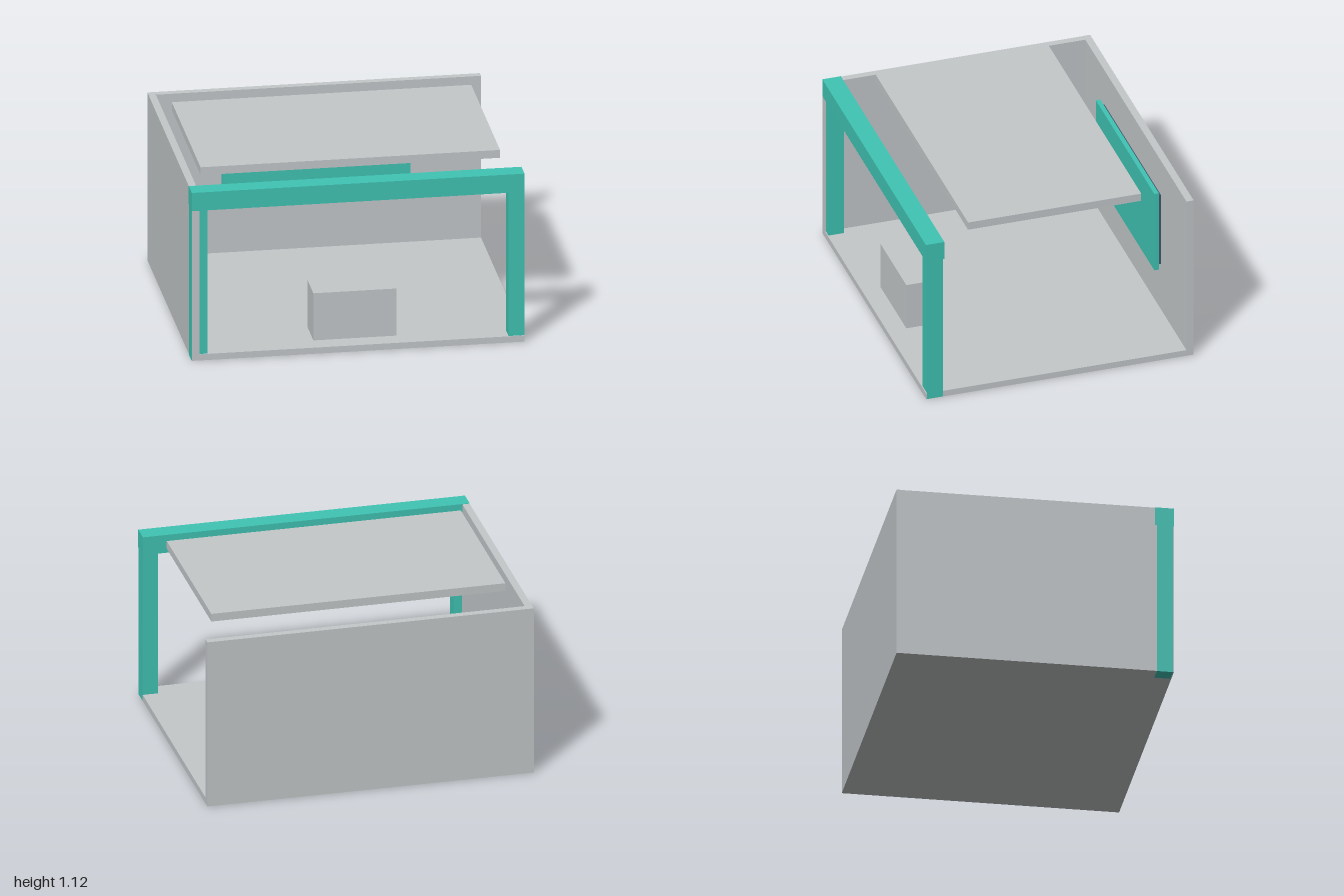
import * as THREE from 'three';

export function createModel() {
  const model = new THREE.Group();
  model.name = 'exhibitionBooth';

  const material = (name, color) => {
    const m = new THREE.MeshStandardMaterial({ color });
    m.name = name;
    return m;
  };
  const grey = material('light grey', 0xc4c8ca);
  const teal = material('teal', 0x40c4b4);
  const slate = material('slate blue', 0x40586c);

  // Adds a box from its low and high corners.
  const box = (name, mat, [x0, y0, z0], [x1, y1, z1]) => {
    const mesh = new THREE.Mesh(new THREE.BoxGeometry(x1 - x0, y1 - y0, z1 - z0), mat);
    mesh.position.set((x0 + x1) / 2, (y0 + y1) / 2, (z0 + z1) / 2);
    mesh.name = name;
    model.add(mesh);
  };

  // Shell: floor, back wall and one side wall; the other side is open.
  box('floor', grey, [-0.999, 0.001, -0.835], [0.999, 0.04, 0.833]);
  box('backWall', grey, [-0.999, 0.04, -0.835], [0.999, 1.07, -0.79]);
  box('sideWall', grey, [-0.999, 0.04, -0.79], [-0.955, 1.069, 0.833]);

  // Front portal: posts just proud of the outer sides, with a beam on top.
  box('rightPost', teal, [-1, 0, 0.73], [-0.905, 0.96, 0.827]);
  box('leftPost', teal, [0.905, 0.002, 0.73], [1, 0.96, 0.827]);
  box('frontBeam', teal, [-1, 0.955, 0.72], [1, 1.071, 0.835]);

  // Floating ceiling panel
  box('ceilingPanel', grey, [-0.9, 1.065, -0.54], [0.9, 1.115, 0.54]);

  // Reception counter
  box('counter', grey, [-0.25, 0.04, 0.485], [0.25, 0.34, 0.715]);

  // Display on the back wall with its backing plate
  box('displayPanel', teal, [-0.565, 0.355, -0.758], [0.565, 0.885, -0.73]);
  box('displayBacking', slate, [-0.545, 0.38, -0.778], [0.545, 0.857, -0.758]);

  return model;
}
